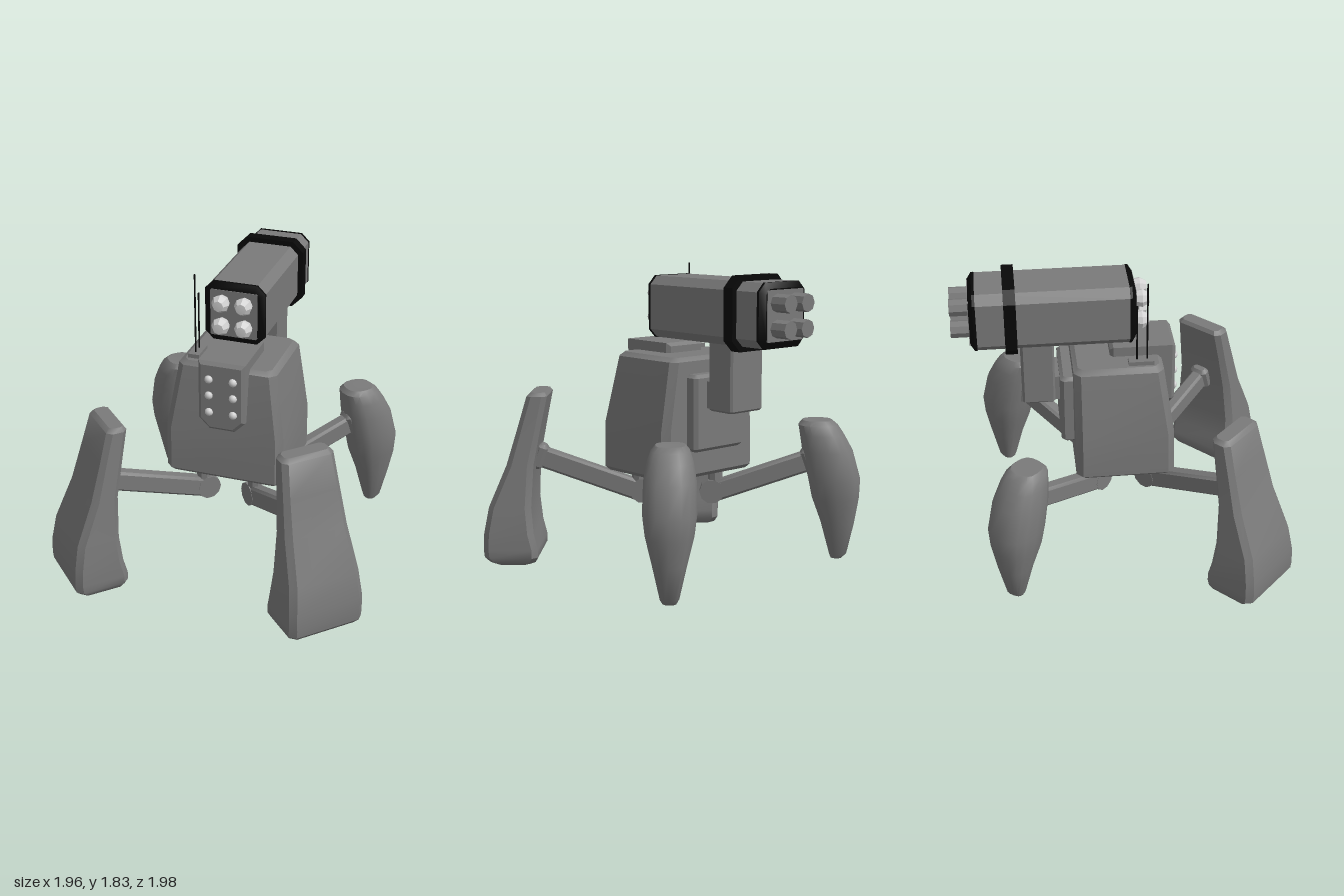
import * as THREE from 'three';
import { toCreasedNormals } from 'three/addons/utils/BufferGeometryUtils.js';

const mat = (name, color) => Object.assign(new THREE.MeshStandardMaterial({ color }), { name });

// Closed skin over rings of points, stacked upward and ordered counter-clockwise from above
function skin(rings, crease = 0.6) {
  const n = rings[0].length, pos = rings.flat(2), idx = [], last = rings.length - 1;
  for (let r = 0; r < last; r++) {
    for (let i = 0; i < n; i++) {
      const a = r * n + i, b = r * n + (i + 1) % n;
      idx.push(a, b, b + n, a, b + n, a + n);
    }
  }
  for (let i = 1; i < n - 1; i++) {
    idx.push(0, i + 1, i, last * n, last * n + i, last * n + i + 1);
  }
  const g = new THREE.BufferGeometry();
  g.setAttribute('position', new THREE.Float32BufferAttribute(pos, 3));
  g.setIndex(idx);
  return toCreasedNormals(g, crease);
}

// Rectangle with cut corners at height y
const cutRect = (y, x, z0, z1, c) => [
  [-x + c, y, z1], [x - c, y, z1], [x, y, z1 - c], [x, y, z0 + c],
  [x - c, y, z0], [-x + c, y, z0], [-x, y, z0 + c], [-x, y, z1 - c]];
const loftRects = (sections) => skin(sections.map((s) => cutRect(...s)));

// Box with chamfered edges all round
function chamferBox(w, h, d, c) {
  const x = w / 2, y = h / 2, z = d / 2;
  return loftRects([
    [-y, x - c, -z + c, z - c, c * 0.6], [-y + c, x, -z, z, c],
    [y - c, x, -z, z, c], [y, x - c, -z + c, z - c, c * 0.6]]);
}

export function createModel() {
  const grey = mat('grey metal', 0x7a7a7a);
  const black = mat('black trim', 0x080808);
  const light = mat('light metal', 0xd2d2d2);
  const model = new THREE.Group();
  model.name = 'walkerTurret';

  const add = (name, geo, material, x = 0, y = 0, z = 0, parent = model) => {
    const m = new THREE.Mesh(geo, material);
    m.name = name;
    m.position.set(x, y, z);
    parent.add(m);
    return m;
  };

  // Body, tapering towards the top
  add('body', loftRects([
    [0.58, 0.345, -0.28, 0.265, 0.03], [0.605, 0.37, -0.305, 0.29, 0.04],
    [0.88, 0.37, -0.305, 0.285, 0.04], [1.285, 0.305, -0.305, 0.225, 0.04],
    [1.31, 0.27, -0.28, 0.2, 0.03]]), grey);

  // Front panel with cut lower corners, and its bolts
  const panel = new THREE.Shape();
  panel.moveTo(-0.125, 1.35);
  panel.lineTo(-0.125, 1.0);
  panel.lineTo(-0.07, 0.945);
  panel.lineTo(0.07, 0.945);
  panel.lineTo(0.125, 1.0);
  panel.lineTo(0.125, 1.35);
  add('frontPanel', new THREE.ExtrudeGeometry(panel, {
    depth: 0.35, bevelSize: 0.02, bevelThickness: 0.02, bevelSegments: 1 }), grey, 0, 0, -0.06);
  for (const x of [-0.075, 0.075]) {
    for (const y of [1.045, 1.155, 1.26]) {
      add('bolt', new THREE.SphereGeometry(0.026, 12, 8), light, x, y, 0.307);
    }
  }

  // Antennas
  add('antennaBase', new THREE.BoxGeometry(0.07, 0.03, 0.15), grey, -0.22, 1.32, 0.095);
  for (const [z, top] of [[0.13, 1.83], [0.07, 1.69]]) {
    add('antenna', new THREE.CylinderGeometry(0.005, 0.005, top - 1.32, 6), black,
      -0.22, (top + 1.32) / 2, z);
  }

  // Back plate and launcher mount
  add('backPlate', chamferBox(0.4, 0.46, 0.12, 0.02), grey, 0, 0.98, -0.32);
  add('mountBracket', new THREE.BoxGeometry(0.22, 0.16, 0.1), grey, 0, 1.09, -0.4);
  add('mountPost', chamferBox(0.26, 0.42, 0.195, 0.012), grey, 0, 1.21, -0.505);

  // Launcher, lofted along its length and laid forward
  const launcher = new THREE.Group();
  launcher.name = 'launcher';
  launcher.position.y = 1.585;
  launcher.rotation.x = Math.PI / 2;
  model.add(launcher);
  const tube = (name, material, sections) => add(name, loftRects(
    sections.map(([l, h, c]) => [l, h, -h, h, c])), material, 0, 0, 0, launcher);
  tube('launcherBody', grey, [[-0.855, 0.184, 0.05], [0.04, 0.184, 0.05]]);
  tube('frontTrim', black, [[0.035, 0.186, 0.05], [0.05, 0.186, 0.05], [0.073, 0.152, 0.03]]);
  tube('rearTrim', black, [[-0.89, 0.152, 0.03], [-0.866, 0.186, 0.05], [-0.85, 0.186, 0.05]]);
  tube('frontFace', grey, [[0.07, 0.145, 0.006], [0.077, 0.145, 0.006]]);
  tube('rearFace', grey, [[-0.894, 0.145, 0.006], [-0.887, 0.145, 0.006]]);
  tube('launcherBand', black, [[-0.69, 0.215, 0.065], [-0.62, 0.215, 0.065]]);

  // Rocket tips at the front, exhaust tubes at the rear
  const tip = toCreasedNormals(new THREE.LatheGeometry([
    [0.042, 0.06], [0.055, 0.115], [0.033, 0.155], [0, 0.158]]
    .map((p) => new THREE.Vector2(...p)), 8), 0.3);
  const exhaust = toCreasedNormals(new THREE.CylinderGeometry(0.052, 0.052, 0.13, 8), 0.3);
  for (const x of [-0.07, 0.07]) {
    for (const z of [-0.072, 0.072]) {
      add('rocketTip', tip, light, x, 0, z, launcher);
      add('exhaustTube', exhaust, grey, x, -0.935, z, launcher);
    }
  }

  // Front legs: broad slabs flaring to a heavy foot (z points outward from the body)
  const frontLeg = loftRects([
    [0, 0.2, 0.9, 1.11, 0.03], [0.015, 0.22, 0.865, 1.145, 0.035], [0.05, 0.24, 0.845, 1.175, 0.035],
    [0.1, 0.24, 0.845, 1.18, 0.035], [0.2, 0.24, 0.87, 1.175, 0.035],
    [0.36, 0.225, 0.885, 1.145, 0.035], [0.62, 0.2, 0.87, 1.035, 0.035],
    [0.85, 0.18, 0.825, 0.965, 0.03], [1.04, 0.165, 0.785, 0.91, 0.03],
    [1.063, 0.14, 0.8, 0.885, 0.02]]);

  // Back legs: rounded blades, each ring [height, centre, half depth, half width]
  const backLeg = skin([
    [0.02, 0.99, 0.035, 0.04], [0.05, 1.0, 0.055, 0.055], [0.25, 0.995, 0.105, 0.1],
    [0.4, 0.98, 0.145, 0.137], [0.52, 0.97, 0.16, 0.152], [0.7, 0.925, 0.155, 0.148],
    [0.8, 0.89, 0.135, 0.13], [0.86, 0.865, 0.12, 0.11], [0.888, 0.86, 0.09, 0.085]]
    .map(([y, c, a, b]) => Array.from({ length: 16 }, (_, i) => {
      const t = i / 16 * Math.PI * 2, round = (v) => Math.sign(v) * Math.abs(v) ** 0.8;
      return [b * round(Math.sin(t)), y, c + a * round(Math.cos(t))];
    })), 0.7);

  // Four limbs on the diagonals: pin, hip joint, strut, socket and leg
  for (const [name, turn] of [['frontLeft', 1], ['frontRight', -1], ['backLeft', 3], ['backRight', -3]]) {
    const isFront = Math.abs(turn) === 1;
    const limb = new THREE.Group();
    limb.name = name + 'Limb';
    limb.rotation.y = turn * Math.PI / 4;
    model.add(limb);
    add('hipPin', toCreasedNormals(new THREE.CylinderGeometry(0.045, 0.045, 0.16, 8), 0.3), grey,
      0, 0.52, 0.235, limb);
    const hip = add('hipJoint', toCreasedNormals(new THREE.CylinderGeometry(0.076, 0.076, 0.09, 10), 0.3),
      grey, 0, 0.437, 0.215, limb);
    hip.rotation.z = Math.PI / 2;
    const end = isFront ? 0.89 : 0.85, slope = 0.345;
    const len = Math.hypot(end - 0.22, (end - 0.22) * slope);
    const strut = add('strut', chamferBox(0.085, 0.125, len, 0.015), grey,
      0, 0.43 + (end - 0.22) * slope / 2, (end + 0.22) / 2, limb);
    strut.rotation.x = -Math.atan(slope);
    const socket = add('legSocket', chamferBox(0.12, 0.16, 0.07, 0.02), grey,
      0, 0.43 + (end - 0.26) * slope, end - 0.04, limb);
    socket.rotation.x = -Math.atan(slope);
    add(isFront ? 'frontLeg' : 'backLeg', isFront ? frontLeg : backLeg, grey, 0, 0, 0, limb);
  }
  return model;
}
